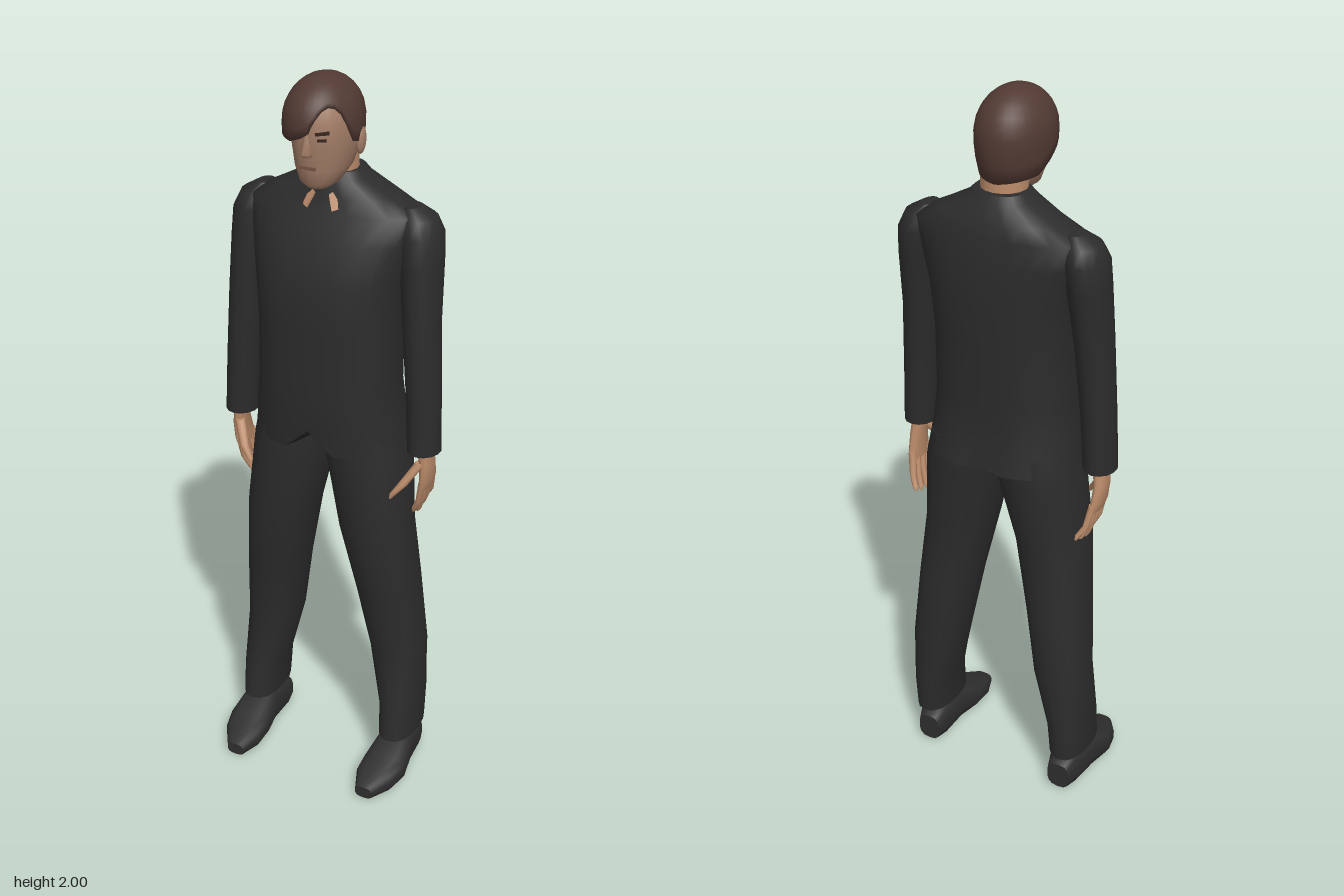
import * as THREE from 'three';

const mat = (name, color, side = THREE.FrontSide) => {
  const m = new THREE.MeshStandardMaterial({ color, side });
  m.name = name;
  return m;
};

// Skin over horizontal rings [y, cx, cz, rx, rz], listed bottom to top, with flat caps
function loft(rings, n = 16, power = 2, tweak = null) {
  const pos = [], idx = [];
  const sp = v => Math.sign(v) * Math.pow(Math.abs(v), 2 / power);
  const addRing = (r, k) => {
    const [y, cx, cz, rx, rz] = rings[k];
    for (let i = 0; i < n; i++) {
      const a = (i / n) * Math.PI * 2;
      const v = new THREE.Vector3(cx + rx * sp(Math.sin(a)), y, cz + rz * sp(Math.cos(a)));
      if (tweak) tweak(v, k, i);
      pos.push(v.x, v.y, v.z);
    }
  };
  rings.forEach(addRing);
  for (let k = 0; k < rings.length - 1; k++) for (let i = 0; i < n; i++) {
    const a = k * n + i, b = k * n + (i + 1) % n;
    idx.push(a, b, b + n, a, b + n, a + n);
  }
  for (const k of [0, rings.length - 1]) {
    const start = pos.length / 3;
    addRing(rings[k], k);
    const c = pos.length / 3;
    pos.push(rings[k][1], rings[k][0], rings[k][2]);
    for (let i = 0; i < n; i++) {
      const a = start + i, b = start + (i + 1) % n;
      if (k === 0) idx.push(c, b, a); else idx.push(c, a, b);
    }
  }
  const g = new THREE.BufferGeometry();
  g.setAttribute('position', new THREE.Float32BufferAttribute(pos, 3));
  g.setIndex(idx);
  g.computeVertexNormals();
  return g;
}

// Hair shell: a rounded dome whose lower edge follows the hairline
const hairline = [[-180, 1.785], [-110, 1.8], [-80, 1.84], [-60, 1.862], [-20, 1.858], [8, 1.875],
  [26, 1.93], [45, 1.945], [60, 1.92], [78, 1.85], [105, 1.835], [120, 1.795], [180, 1.785]];
function hairEdge(deg) {
  const k = Math.max(1, hairline.findIndex(h => h[0] >= deg));
  const [a, b] = [hairline[k - 1], hairline[k]];
  return THREE.MathUtils.mapLinear(deg, a[0], b[0], a[1], b[1]);
}
function hairGeometry() {
  const n = 36, rows = 10, cy = 1.89, ry = 0.11, pos = [], idx = [];
  for (let k = 0; k <= rows + 1; k++) for (let i = 0; i < n; i++) {
    const deg = -180 + (360 * i) / n, a = THREE.MathUtils.degToRad(deg);
    const t = Math.min(1, k / rows);
    const y = 2 - (2 - hairEdge(deg)) * t * t;
    const d = (y - cy) / ry;
    let r = d > 0 ? Math.sqrt(Math.max(0, 1 - d * d)) : 1 - 0.15 * d * d;
    if (k > rows) r *= 0.75; // edge turned in to the scalp
    pos.push(-0.01 + 0.095 * r * Math.sin(a), y, 0.002 + 0.124 * r * Math.cos(a));
  }
  for (let k = 0; k <= rows; k++) for (let i = 0; i < n; i++) {
    const a = k * n + i, b = k * n + (i + 1) % n;
    idx.push(a, a + n, b + n, a, b + n, b);
  }
  const g = new THREE.BufferGeometry();
  g.setAttribute('position', new THREE.Float32BufferAttribute(pos, 3));
  g.setIndex(idx);
  g.computeVertexNormals();
  return g;
}

export function createModel() {
  const suit = mat('suit', 0x2c2c2d), shoe = mat('shoe leather', 0x2f2f30);
  const skin = mat('skin', 0xb98a69), face = mat('face skin', 0xa17c66);
  const hair = mat('hair', 0x523a33, THREE.DoubleSide);
  const dark = mat('eyes and brows', 0x35261f), lips = mat('lips', 0x7c5546);
  const model = new THREE.Group();
  model.name = 'suitedMan';
  const add = (name, geo, m, parent = model) => {
    const mesh = new THREE.Mesh(geo, m);
    mesh.name = name;
    parent.add(mesh);
    return mesh;
  };

  // Jacket body, with a front notch at the hem and a back vent
  add('jacket', loft([
    [1.03, 0, -0.033, 0.21, 0.15], [1.12, 0, -0.022, 0.2, 0.146], [1.2, 0, -0.018, 0.19, 0.143],
    [1.38, 0, -0.02, 0.19, 0.145], [1.5, 0, -0.025, 0.2, 0.145], [1.6, 0, -0.04, 0.222, 0.125],
    [1.665, 0, -0.052, 0.235, 0.102], [1.7, 0, -0.055, 0.165, 0.09], [1.74, 0, -0.05, 0.088, 0.075],
    [1.76, 0, -0.05, 0.07, 0.062],
  ], 24, 2.4, (v, k, i) => {
    if (k === 0 && i === 0) v.y += 0.06;
    if (k < 2 && i === 12) v.z += 0.022;
  }), suit);

  for (const s of [1, -1]) {
    const side = s > 0 ? 'left' : 'right';
    const limb = (rings, n, p) => loft(rings.map(r => [r[0], r[1] * s, ...r.slice(2)]), n, p);

    add(side + 'Sleeve', limb([
      [1.04, 0.27, -0.02, 0.044, 0.052], [1.2, 0.262, -0.023, 0.045, 0.054],
      [1.4, 0.248, -0.03, 0.048, 0.062], [1.55, 0.238, -0.045, 0.053, 0.07],
      [1.62, 0.232, -0.05, 0.055, 0.07], [1.66, 0.222, -0.052, 0.046, 0.056],
      [1.685, 0.205, -0.053, 0.02, 0.03],
    ], 14), suit);

    add(side + 'TrouserLeg', limb([
      [0.12, 0.22, -0.036, 0.052, 0.097], [0.22, 0.218, -0.045, 0.055, 0.096],
      [0.4, 0.194, -0.058, 0.076, 0.089], [0.6, 0.169, -0.038, 0.084, 0.104],
      [0.8, 0.139, -0.018, 0.096, 0.114], [1.0, 0.108, -0.033, 0.108, 0.13],
      [1.08, 0.1, -0.03, 0.1, 0.125],
    ], 16, 2.3), suit);

    // Shoe: lofted heel to toe, then laid forward
    const foot = limb([
      [-0.12, 0.215, -0.047, 0.034, 0.04], [-0.085, 0.216, -0.06, 0.045, 0.058],
      [0.0, 0.22, -0.063, 0.05, 0.062], [0.075, 0.22, -0.043, 0.063, 0.042],
      [0.13, 0.214, -0.034, 0.056, 0.033], [0.187, 0.207, -0.023, 0.026, 0.018],
    ], 14, 2.8);
    add(side + 'Shoe', foot.rotateX(Math.PI / 2), shoe);

    // Hand with spread fingers and thumb
    const hand = new THREE.Group();
    hand.name = side + 'Hand';
    model.add(hand);
    add('palm', limb([
      [0.925, 0.272, -0.035, 0.011, 0.042], [0.95, 0.276, -0.033, 0.015, 0.044],
      [1.0, 0.278, -0.024, 0.018, 0.036], [1.06, 0.27, -0.02, 0.022, 0.028],
    ], 12), skin, hand);
    for (let f = 0; f < 4; f++) {
      const z = -0.002 - f * 0.022, tip = 0.832 + Math.abs(f - 1.2) * 0.012;
      add('finger', limb([
        [tip, 0.245, z - 0.016 - f * 0.006, 0.004, 0.004], [tip + 0.012, 0.249, z - 0.014 - f * 0.005, 0.008, 0.008],
        [0.89, 0.264, z - 0.006 - f * 0.003, 0.009, 0.009], [0.95, 0.274, z, 0.01, 0.011],
      ], 8), skin, hand);
    }
    add('thumb', limb([
      [0.912, 0.208, 0.05, 0.004, 0.005], [0.925, 0.214, 0.048, 0.009, 0.009],
      [0.955, 0.237, 0.037, 0.013, 0.012], [1.01, 0.27, 0.0, 0.014, 0.016],
    ], 8), skin, hand);

    // Open collar flap lying on the chest
    const flap = new THREE.Shape([[0.018, 0.005], [0.034, -0.034], [0.055, -0.022], [0.062, 0.0],
      [0.075, 0.012], [0.068, 0.045], [0.04, 0.025]].map(p => new THREE.Vector2(p[0] * s, p[1])));
    const collar = add(side + 'Collar', new THREE.ExtrudeGeometry(flap, { depth: 0.008, bevelEnabled: false }), skin);
    collar.position.set(0, 1.704, 0.036);
    collar.rotation.set(-0.5, s * 0.3, 0);
  }

  // Neck and head
  add('neck', loft([[1.69, 0, -0.04, 0.06, 0.062], [1.75, 0, -0.04, 0.06, 0.058],
    [1.83, 0, -0.035, 0.058, 0.06]], 16), skin);
  const head = new THREE.Group();
  head.name = 'head';
  model.add(head);
  add('face', loft([
    [1.735, 0, 0.045, 0.028, 0.035], [1.75, 0, 0.038, 0.048, 0.057], [1.785, 0, 0.018, 0.066, 0.084],
    [1.84, 0, 0.002, 0.078, 0.106], [1.9, 0, 0, 0.08, 0.11], [1.95, -0.005, 0, 0.068, 0.09],
    [1.98, -0.01, 0, 0.035, 0.045],
  ], 20, 2.2), face, head);
  add('nose', loft([[1.822, -0.003, 0.105, 0.012, 0.012], [1.832, -0.003, 0.106, 0.015, 0.022],
    [1.875, -0.003, 0.1, 0.007, 0.012]], 8), face, head);
  add('mouth', new THREE.BoxGeometry(0.042, 0.008, 0.008), lips, head).position.set(-0.003, 1.793, 0.102);
  for (const s of [1, -1]) {
    const eye = add('eye', new THREE.BoxGeometry(0.022, 0.007, 0.006), dark, head);
    eye.position.set(s * 0.034, 1.865, 0.099);
    eye.rotation.y = s * 0.35;
    const brow = add('brow', new THREE.BoxGeometry(0.034, 0.007, 0.008), dark, head);
    brow.position.set(s * 0.036, 1.882, 0.101);
    brow.rotation.set(0, s * 0.35, s * 0.12);
    const ear = add('ear', new THREE.SphereGeometry(1, 12, 8), face, head);
    ear.scale.set(0.01, 0.034, 0.02);
    ear.position.set(s * 0.08, 1.84, -0.018);
    ear.rotation.x = -0.15;
  }
  add('hair', hairGeometry(), hair, head);
  return model;
}
